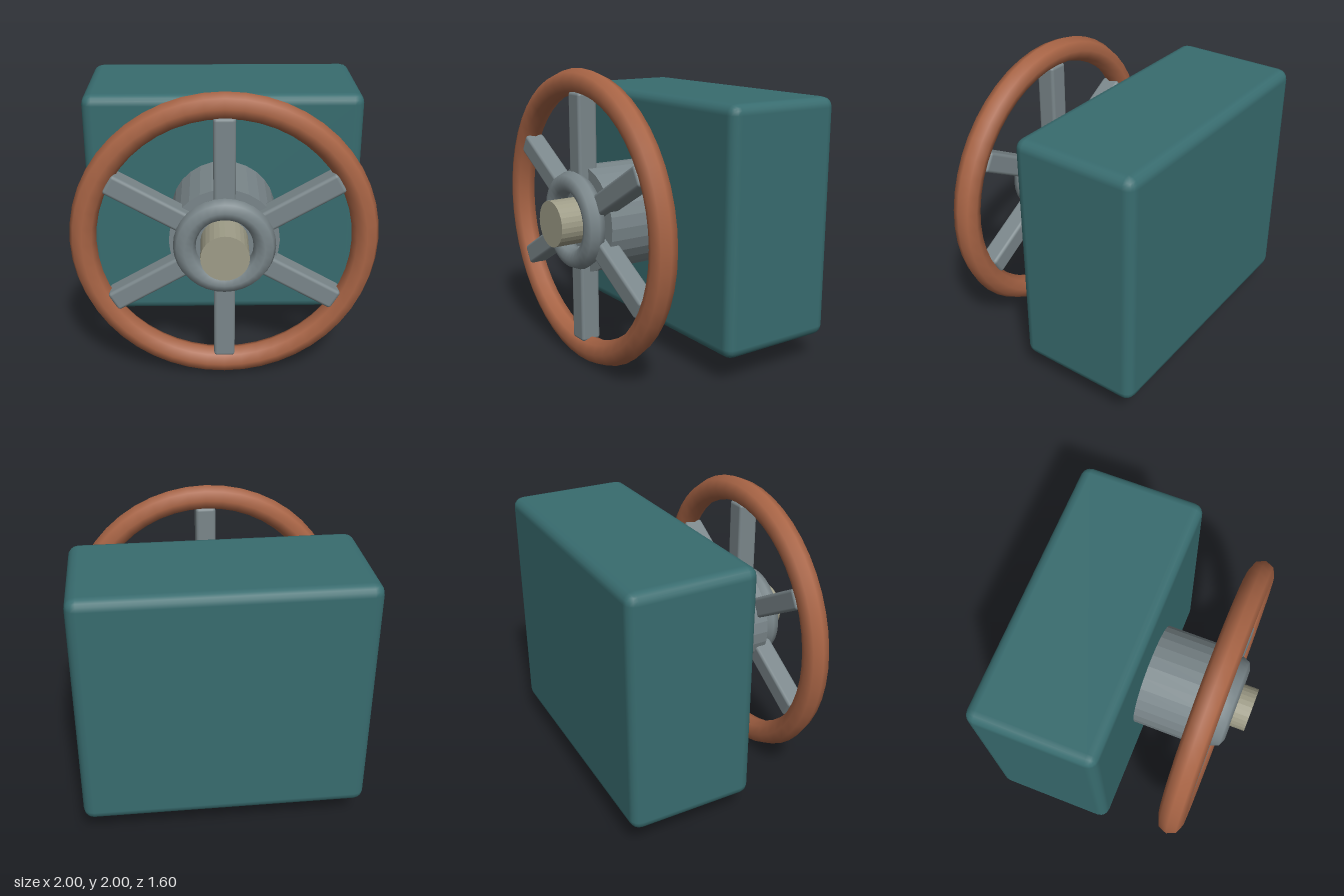
import * as THREE from 'three';
import { RoundedBoxGeometry } from 'three/addons/geometries/RoundedBoxGeometry.js';

const material = (name, color) => {
  const m = new THREE.MeshStandardMaterial({ color });
  m.name = name;
  return m;
};

export function createModel() {
  const teal = material('teal paint', 0x386c6f);
  const steel = material('grey steel', 0x7a868a);
  const copper = material('copper rim', 0xa86445);
  const brass = material('pale brass', 0x9f9d88);

  const model = new THREE.Group();
  model.name = 'handwheelUnit';
  const add = (parent, name, geometry, mat, x = 0, y = 0, z = 0) => {
    const mesh = new THREE.Mesh(geometry, mat);
    mesh.name = name;
    mesh.position.set(x, y, z);
    parent.add(mesh);
    return mesh;
  };

  // Faceted cylinder lying along z, between two depths
  const rod = (radius, z0, z1, sides) => {
    const g = new THREE.CylinderGeometry(radius, radius, z1 - z0, sides)
      .rotateX(Math.PI / 2)
      .translate(0, 0, (z0 + z1) / 2)
      .toNonIndexed();
    g.computeVertexNormals();
    return g;
  };

  // Housing and the shaft parts in front of it
  add(model, 'housing', new RoundedBoxGeometry(1.9, 1.64, 0.86, 2, 0.07), teal, 0, 1, -0.37);
  add(model, 'bearingDrum', rod(0.36, 0.03, 0.55, 28), steel, 0, 1, 0);
  add(model, 'shaftEnd', rod(0.155, 0.5, 0.8, 28), brass, 0, 1, 0);

  // Handwheel: rim, hub ring and six spokes
  const wheel = new THREE.Group();
  wheel.name = 'handwheel';
  wheel.position.set(0, 1, 0.545);
  model.add(wheel);
  add(wheel, 'rim', new THREE.TorusGeometry(0.913, 0.087, 8, 48), copper);
  add(wheel, 'hubRing', new THREE.TorusGeometry(0.258, 0.073, 8, 32), steel, 0, 0, 0.078);

  const spokeGeometry = new RoundedBoxGeometry(0.14, 0.65, 0.14, 2, 0.022);
  for (let i = 0; i < 6; i++) {
    const a = (i * Math.PI) / 3;
    const spoke = add(wheel, 'spoke' + (i + 1), spokeGeometry, steel,
      -Math.sin(a) * 0.525, Math.cos(a) * 0.525, 0);
    spoke.rotation.z = a;
  }
  return model;
}
